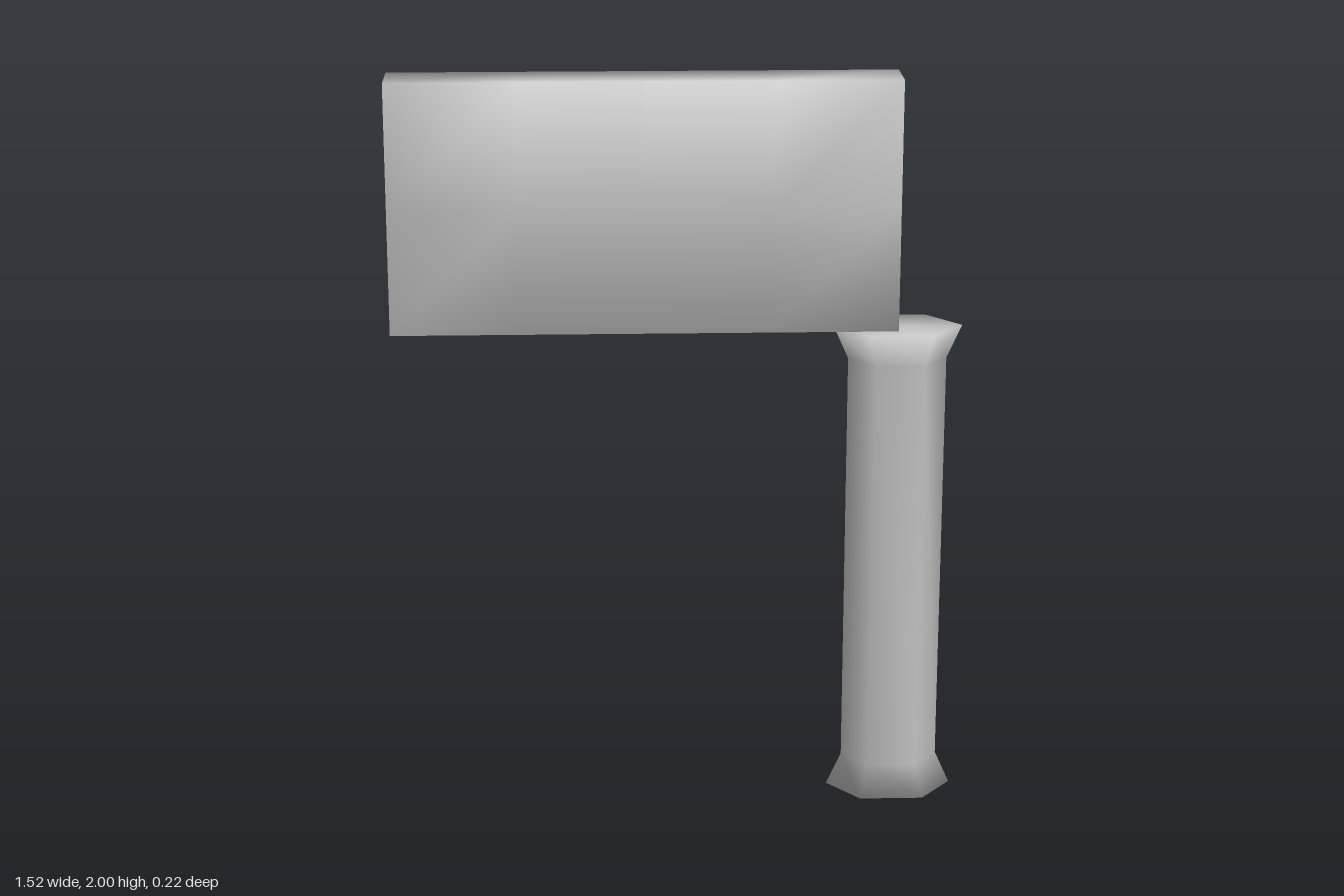
import * as THREE from 'three';
import { mergeVertices } from 'three/addons/utils/BufferGeometryUtils.js';

// Weld all corners so the shading runs smoothly over the edges
function smooth(geometry) {
  geometry.deleteAttribute('normal');
  geometry.deleteAttribute('uv');
  const welded = mergeVertices(geometry, 1e-4);
  welded.computeVertexNormals();
  return welded;
}

export function createModel() {
  const model = new THREE.Group();
  model.name = 'signpost';
  const grey = new THREE.MeshStandardMaterial({ color: 0xc0c0c0 });
  grey.name = 'plain grey';

  // Wide board, standing on the inner half of the column
  const board = new THREE.Mesh(smooth(new THREE.BoxGeometry(1.345, 0.672, 0.15, 4, 2, 1)), grey);
  board.name = 'board';
  board.position.set(-0.0885, 1.664, -0.0155);
  model.add(board);

  // Flattened six-sided column with flared foot and head, closed at both ends
  const profile = [[0, 0], [0.172, 0], [0.132, 0.09], [0.132, 1.238], [0.172, 1.328], [0, 1.328]]
    .map(([r, y]) => new THREE.Vector2(r, y));
  const columnShape = new THREE.LatheGeometry(profile, 6, Math.PI / 6);
  columnShape.scale(1, 1, 0.73);
  const column = new THREE.Mesh(smooth(columnShape), grey);
  column.name = 'column';
  column.position.x = 0.588;
  model.add(column);

  return model;
}
